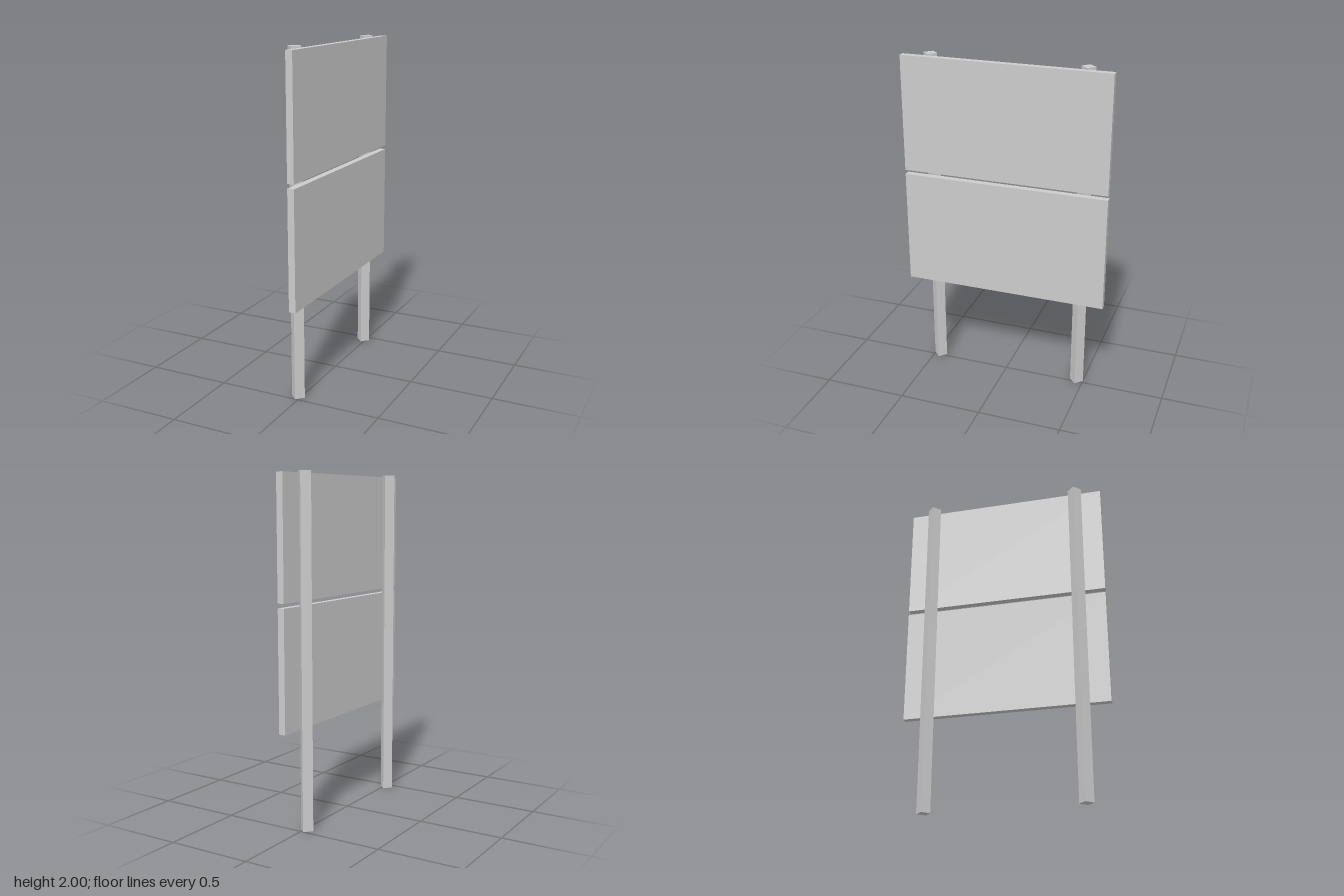
import * as THREE from 'three';

export function createModel() {
  const model = new THREE.Group();
  model.name = 'signboard';
  const material = new THREE.MeshStandardMaterial({ color: 0xcccccc, flatShading: true });

  const addBox = (name, w, h, d, x, y, z) => {
    const mesh = new THREE.Mesh(new THREE.BoxGeometry(w, h, d), material);
    mesh.name = name;
    mesh.position.set(x, y, z);
    model.add(mesh);
    return mesh;
  };

  // Two square posts turned on edge, slightly sunk into the boards
  const side = 0.0415 * Math.SQRT2;
  for (const [name, z] of [['frontPost', 0.46], ['backPost', -0.46]]) {
    addBox(name, side, 2, side, -0.0165, 1, z).rotation.y = Math.PI / 4;
  }

  // Two flat boards with a narrow gap between them
  for (const [name, bottom] of [['lowerBoard', 0.58], ['upperBoard', 1.298]]) {
    addBox(name, 0.04, 0.692, 1.235, 0.036, bottom + 0.346, 0);
  }

  return model;
}
